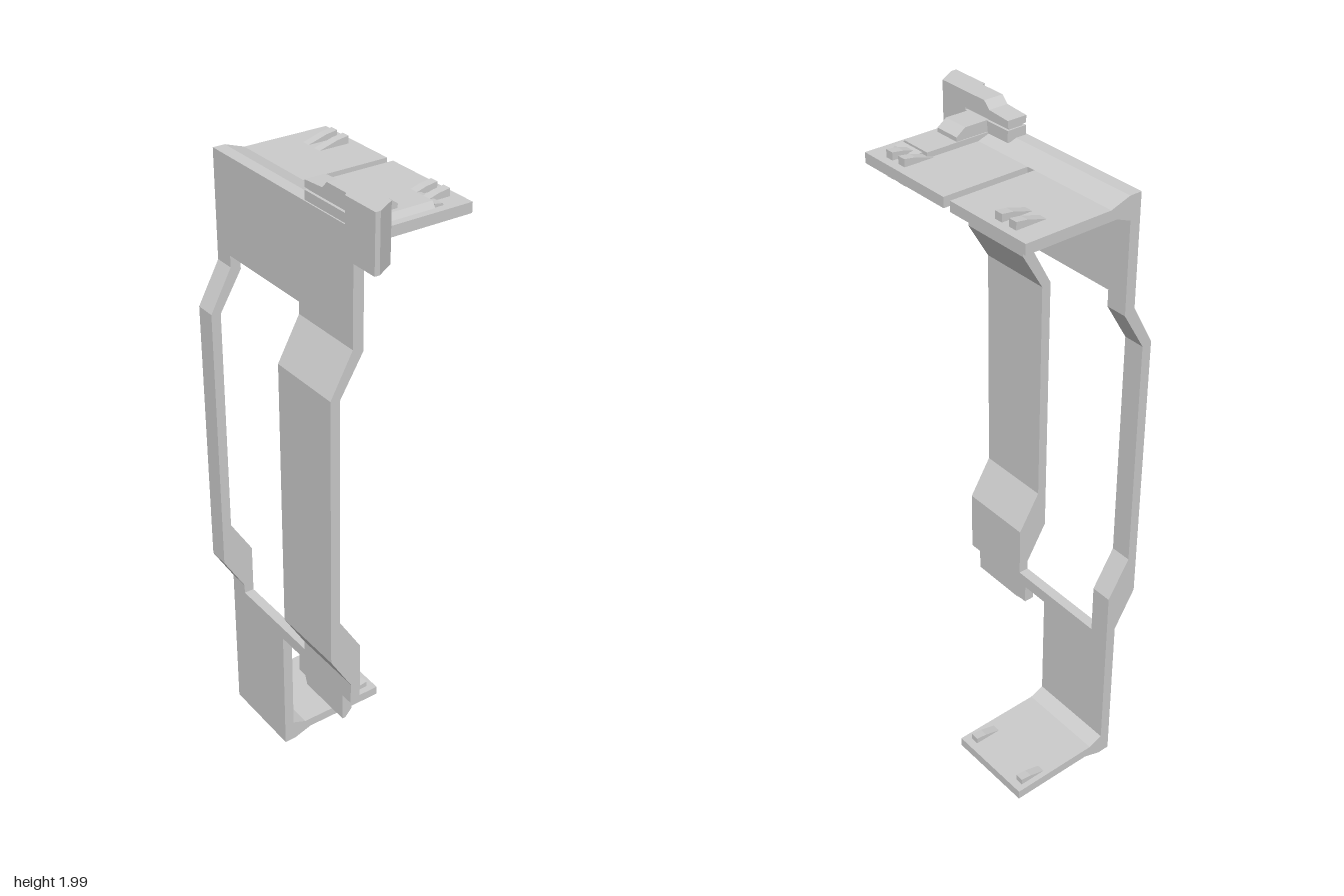
import * as THREE from 'three';

const material = new THREE.MeshStandardMaterial({ color: 0xcccccc, flatShading: true });
const toShape = (pts) => new THREE.Shape(pts.map(([a, b]) => new THREE.Vector2(a, b)));
const extrude = (pts, depth) => new THREE.ExtrudeGeometry(toShape(pts), { depth, bevelEnabled: false });

export function createModel() {
  const root = new THREE.Group();
  const add = (name, geometry) => {
    const mesh = new THREE.Mesh(geometry, material);
    mesh.name = name;
    root.add(mesh);
  };
  // side profile of [z, y] points swept from x0 to x1
  const sweepX = (name, pts, x0, x1) =>
    add(name, extrude(pts, x1 - x0).rotateY(-Math.PI / 2).translate(x1, 0, 0));
  // front outline of [x, y] points swept from z0 to z1
  const sweepZ = (name, pts, z0, z1) => add(name, extrude(pts, z1 - z0).translate(0, 0, z0));
  // plan outline of [x, z] points swept from y0 to y1
  const sweepY = (name, pts, y0, y1) =>
    add(name, extrude(pts, y1 - y0).rotateX(Math.PI / 2).translate(0, y1, 0));
  const rect = (a0, b0, a1, b1) => [[a0, b0], [a1, b0], [a1, b1], [a0, b1]];

  const L = -0.365, R = 0.27, back = 0.115, front = 0.147;

  // flat panels above and below the window
  sweepZ('upperPanel', rect(L, 1.635, R, 1.89), back, front);
  sweepZ('lowerPanel', [
    [L, 0.04], [-0.085, 0.04], [-0.085, 0.44], [R, 0.44], [R, 0.48], [L, 0.48],
  ], back, front);

  // side strips that step forward around the window
  const strip = [
    [front, 0.48], [front, 0.51], [0.215, 0.625], [0.215, 1.475], [front, 1.6], [front, 1.635],
    [back, 1.635], [back, 1.587], [0.185, 1.47], [0.185, 0.755], [back, 0.64], [back, 0.48],
  ];
  sweepX('narrowStrip', strip, L, -0.3);
  sweepX('wideStrip', strip, 0.033, R);

  // hanging tab with a chamfered lower edge
  sweepZ('tab', [[0.005, 0.38], [0.23, 0.38], [0.23, 0.44], [0.005, 0.44]], back, front);
  sweepX('tabLip', [[front, 0.35], [front, 0.38], [back, 0.38], [back, 0.375], [0.138, 0.35]], 0.045, 0.23);
  sweepZ('tabCorner', [[0.035, 0.38], [0.045, 0.35], [0.045, 0.38]], 0.138, front);

  // shelves reaching back, with thickened roots
  const shelfRoot = [
    [front, 0.01], [front, 0.078], [back, 0.078], [0.07, 0.06], [0.05, 0.06], [0.05, 0.03], [0.11, 0.01],
  ];
  const flip = (pts) => pts.map(([z, y]) => [z, 1.932 - y]);
  sweepX('lowerShelfRoot', shelfRoot, L, -0.085);
  sweepX('lowerShelf', rect(-0.215, 0.03, 0.05, 0.06), L, -0.085);
  sweepX('upperShelfRoot', flip(shelfRoot), L, R);
  for (const [x0, x1] of [[L, -0.083], [-0.057, R]])
    sweepX('upperShelf', flip(rect(-0.215, 0.03, 0.05, 0.06)), x0, x1);

  // wedge ribs on both faces of each shelf
  const rib = (y) => [
    [-0.045, y], [-0.155, y + 0.032], [-0.19, y + 0.037], [-0.19, y - 0.037], [-0.155, y - 0.032],
  ];
  for (const x of [-0.288, -0.236, 0.147, 0.198])
    sweepX('upperRib', rib(1.887), x - 0.013, x + 0.013);
  for (const x of [-0.335, -0.12])
    sweepX('lowerRib', rib(0.043), x - 0.013, x + 0.013);

  // latch: front bar, end block and lever lying on the shelf
  sweepZ('latchBar', [
    [0.06, 1.955], [0.245, 1.955], [0.245, 2], [0.155, 2], [0.135, 1.98], [0.06, 1.975],
  ], 0.082, 0.143);
  sweepZ('latchBarFoot', rect(0.06, 1.915, 0.24, 1.948), 0.082, 0.143);
  sweepZ('latchBarCore', rect(0.065, 1.94, 0.24, 1.96), 0.09, 0.135);
  sweepY('latchBlock', [
    [0.235, 0.082], [0.33, 0.082], [0.363, 0.138], [0.363, 0.153], [0.243, 0.153], [0.235, 0.143],
  ], 1.86, 2);
  sweepY('latchBlockFoot', [
    [R, 0.082], [0.33, 0.082], [0.363, 0.138], [0.363, 0.153], [R, 0.153],
  ], 1.838, 1.86);
  sweepZ('leverPlate', [[0.14, 1.895], [0.253, 1.895], [0.236, 1.918], [0.14, 1.918]], -0.115, 0.085);
  sweepX('leverTip', [[-0.145, 1.9], [-0.115, 1.9], [-0.115, 1.912], [-0.14, 1.908]], 0.16, 0.245);
  sweepX('leverHump', [[0.085, 1.91], [0.085, 1.95], [0.01, 1.95], [-0.018, 1.93], [-0.018, 1.91]], 0.143, 0.223);

  return root;
}
